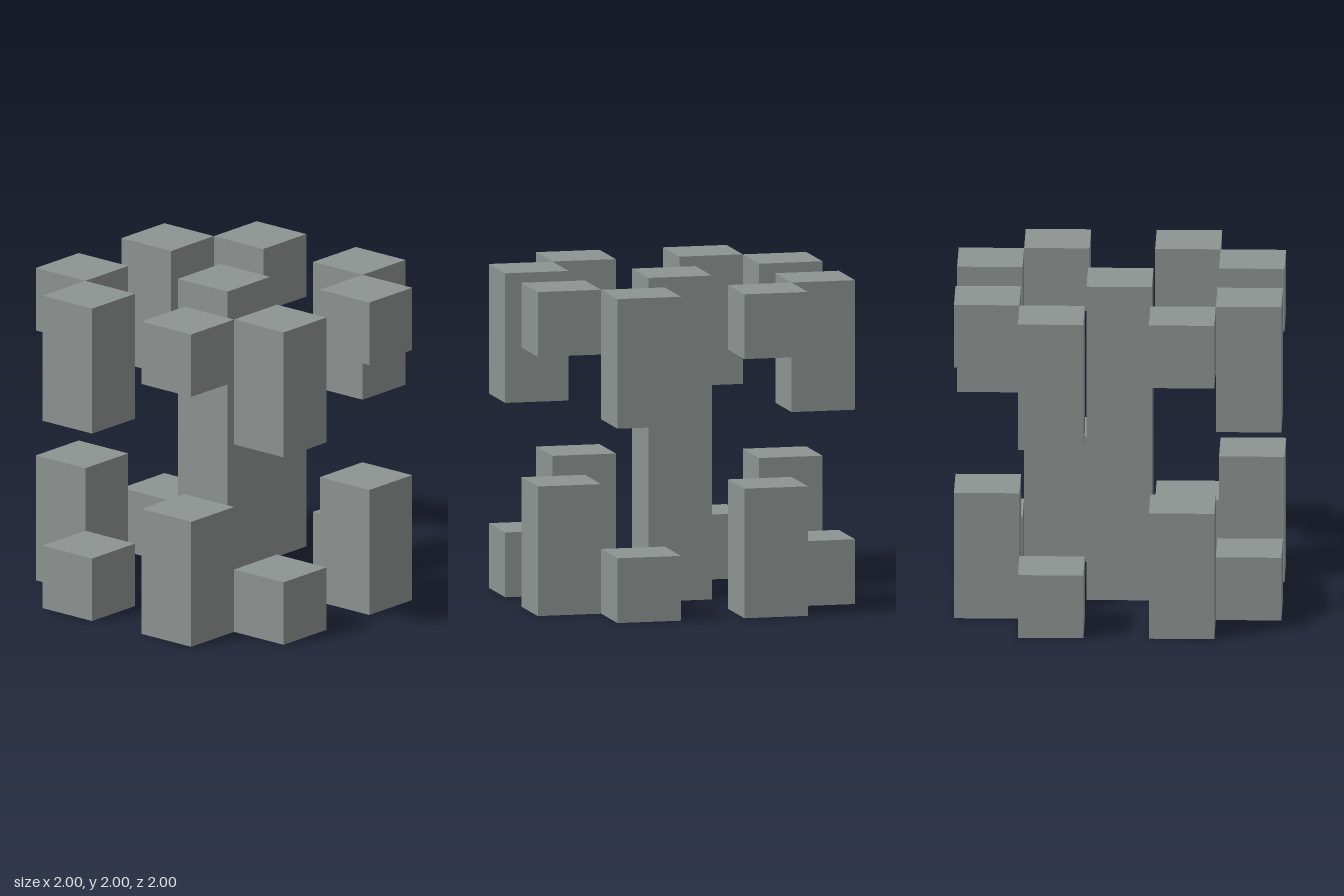
import * as THREE from 'three';

const UNIT = 0.4;
const TALL = 2 * UNIT;
const HEIGHT = 5 * UNIT;

export function createModel() {
  const model = new THREE.Group();
  model.name = 'blockCluster';
  const material = new THREE.MeshStandardMaterial({ color: 0x8e9492, flatShading: true });

  // Square block standing on the given base height
  function addBlock(parent, name, x, z, base, height) {
    const block = new THREE.Mesh(new THREE.BoxGeometry(UNIT, height, UNIT), material);
    block.name = name;
    block.position.set(x, base + height / 2, z);
    parent.add(block);
  }

  // Central column, full height
  addBlock(model, 'centralColumn', 0, 0, 0, HEIGHT);

  // Four identical corners, each a quarter turn from the last;
  // tall and short blocks swap places between the two tiers
  for (let i = 0; i < 4; i++) {
    const corner = new THREE.Group();
    corner.name = `corner${i + 1}`;
    corner.rotation.y = (i * Math.PI) / 2;
    addBlock(corner, 'upperShortBlock', UNIT, 2 * UNIT, HEIGHT - UNIT, UNIT);
    addBlock(corner, 'lowerTallBlock', UNIT, 2 * UNIT, 0, TALL);
    addBlock(corner, 'upperTallBlock', 2 * UNIT, UNIT, HEIGHT - TALL, TALL);
    addBlock(corner, 'lowerShortBlock', 2 * UNIT, UNIT, 0, UNIT);
    model.add(corner);
  }

  return model;
}
